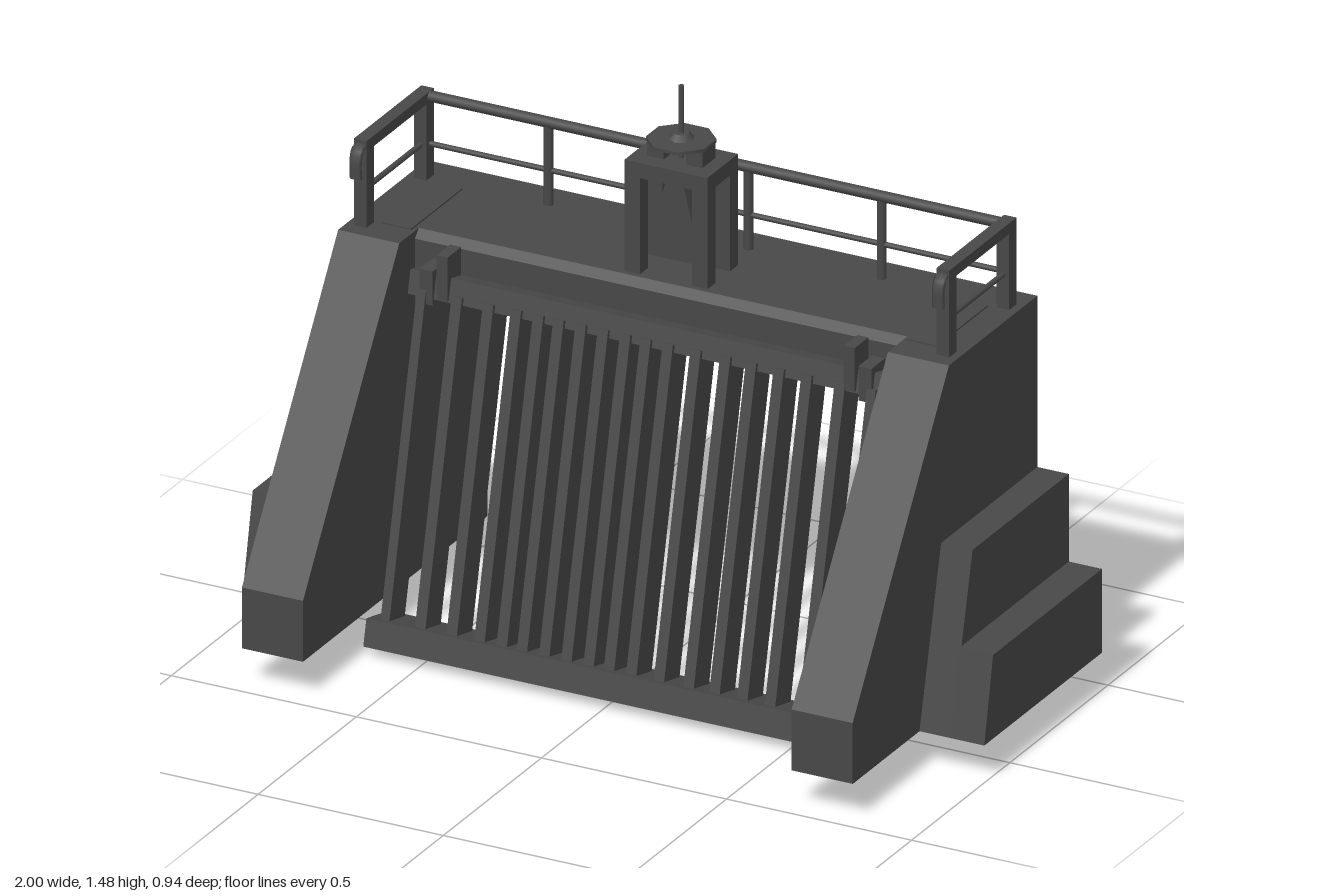
import * as THREE from 'three';

const concrete = new THREE.MeshStandardMaterial({ color: 0x484848 });
concrete.name = 'dark grey';

export function createModel() {
  const root = new THREE.Group();
  root.name = 'intakeGate';

  const add = (geo, name, parent = root) => {
    const m = new THREE.Mesh(geo, concrete);
    m.name = name;
    parent.add(m);
    return m;
  };
  // Box from minimum and maximum corners
  const box = (name, x0, x1, y0, y1, z0, z1, parent) => {
    const m = add(new THREE.BoxGeometry(x1 - x0, y1 - y0, z1 - z0), name, parent);
    m.position.set((x0 + x1) / 2, (y0 + y1) / 2, (z0 + z1) / 2);
    return m;
  };
  // Side profile of (z, y) points extruded along x
  const slab = (name, pts, x0, x1) => {
    const shape = new THREE.Shape(pts.map(p => new THREE.Vector2(p[0], p[1])));
    const geo = new THREE.ExtrudeGeometry(shape, { depth: x1 - x0, bevelEnabled: false });
    geo.rotateY(-Math.PI / 2);
    geo.translate(x1, 0, 0);
    return add(geo, name);
  };
  // Round bar between two points
  const bar = (name, a, b, r, parent) => {
    const p = new THREE.Vector3(...a), q = new THREE.Vector3(...b);
    const d = q.clone().sub(p);
    const m = add(new THREE.CylinderGeometry(r, r, d.length(), 10), name, parent);
    m.position.copy(p).add(q).multiplyScalar(0.5);
    m.quaternion.setFromUnitVectors(new THREE.Vector3(0, 1, 0), d.normalize());
    return m;
  };
  // Mirrored x range
  const span = (s, a, b) => (s > 0 ? [a, b] : [-b, -a]);

  // Side piers with stepped buttresses and corbels
  for (const s of [1, -1]) {
    slab('pier', [[-0.47, 0.1], [0.47, 0.1], [0.47, 0.26], [-0.02, 1], [-0.47, 1]], ...span(s, 0.66, 0.825));
    slab('upperButtress', [[-0.47, 0.1], [0.13, 0.1], [0.02, 0.55], [-0.47, 0.55]], ...span(s, 0.825, 0.91));
    slab('lowerButtress', [[-0.47, 0.1], [0.13, 0.1], [0.085, 0.32], [-0.47, 0.32]], ...span(s, 0.91, 1));
    box('corbel', ...span(s, 0.62, 0.66), 0.67, 0.98, -0.32, -0.1);
    box('hatch', ...span(s, 0.67, 0.75), 1, 1.004, -0.36, -0.1);
  }

  // Deck with its deeper rear beam
  slab('deck', [[-0.47, 0.76], [-0.38, 0.76], [-0.33, 0.88], [-0.1, 0.89], [-0.1, 0.98], [-0.12, 1], [-0.47, 1]], -0.66, 0.66);

  // Inclined screen
  const rack = new THREE.Group();
  rack.name = 'screen';
  rack.position.set(0, 0.05, 0.125);
  rack.rotation.x = -0.23;
  root.add(rack);
  box('bottomBeam', -0.645, 0.655, -0.035, 0.035, -0.06, 0.06, rack);
  box('topBeam', -0.645, 0.655, 0.83, 0.89, -0.03, 0.03, rack);
  const xs = [-0.51, -0.425, -0.35, -0.29, -0.235, -0.175, -0.115, -0.055, 0,
    0.06, 0.135, 0.215, 0.285, 0.36, 0.435, 0.525];
  for (const x of xs) box('screenBar', x - 0.014, x + 0.014, 0.03, 0.85, -0.04, 0.04, rack);
  for (const x of [-0.605, 0.61]) box('endBar', x - 0.012, x + 0.012, 0.03, 0.85, -0.04, 0.04, rack);
  // Hinge lugs holding the screen
  for (const s of [1, -1]) {
    box('hingeLug', ...span(s, 0.535, 0.565), 0.87, 0.985, -0.1, -0.03);
    box('hingePlate', ...span(s, 0.575, 0.61), 0.85, 0.94, -0.11, -0.03);
  }

  // Railing along the back and both ends
  const back = -0.385;
  bar('backTopRail', [-0.79, 1.215, back], [0.79, 1.215, back], 0.014);
  bar('backMidRail', [-0.79, 1.09, back], [0.79, 1.09, back], 0.007);
  for (const x of [-0.45, -0.09, 0.09, 0.45]) bar('railPost', [x, 0.98, back], [x, 1.215, back], 0.012);
  for (const s of [1, -1]) {
    const x = 0.787 * s;
    for (const z of [back, -0.08]) box('cornerPost', x - 0.017, x + 0.017, 1, 1.22, z - 0.019, z + 0.019);
    box('sideTopRail', x - 0.017, x + 0.017, 1.2, 1.228, -0.404, -0.06);
    bar('sideMidRail', [x, 1.09, back], [x, 1.09, -0.08], 0.007);
    // Down-turned rail end
    const hook = new THREE.CatmullRomCurve3([
      new THREE.Vector3(x, 1.214, -0.07), new THREE.Vector3(x, 1.208, -0.048),
      new THREE.Vector3(x, 1.185, -0.038), new THREE.Vector3(x, 1.135, -0.038)]);
    const h = add(new THREE.TubeGeometry(hook, 10, 0.007, 8), 'railHook');
    h.position.x = x;
    h.geometry.translate(-x, 0, 0);
    h.scale.x = 2.4;
  }

  // Hoist stand
  const hoist = new THREE.Group();
  hoist.name = 'hoist';
  hoist.position.set(0, 0, -0.212);
  root.add(hoist);
  for (const s of [1, -1]) {
    for (const t of [1, -1]) box('hoistLeg', ...span(s, 0.07, 0.112), 1, 1.26, ...span(t, 0.037, 0.078), hoist);
    box('bearingBlock', ...span(s, 0.03, 0.075), 1.29, 1.335, -0.033, 0.033, hoist);
  }
  box('hoistTop', -0.112, 0.112, 1.252, 1.292, -0.078, 0.078, hoist);

  // Tapered housing below the hoist top
  const housing = new THREE.Shape([[-0.075, 1.035], [0.075, 1.035], [0.02, 1.252], [-0.02, 1.252]]
    .map(p => new THREE.Vector2(...p)));
  const hg = new THREE.ExtrudeGeometry(housing, { depth: 0.07, bevelEnabled: false });
  hg.translate(0, 0, -0.035);
  add(hg, 'taperedHousing', hoist);

  // Octagonal handwheel and threaded stem
  const wheel = add(new THREE.CylinderGeometry(0.085, 0.085, 0.008, 8), 'handwheel', hoist);
  wheel.position.y = 1.338;
  wheel.rotation.y = Math.PI / 8;
  const hub = add(new THREE.CylinderGeometry(0.02, 0.033, 0.016, 8), 'wheelHub', hoist);
  hub.position.y = 1.349;
  bar('stem', [0, 1.28, 0], [0, 1.48, 0], 0.007, hoist);

  return root;
}
